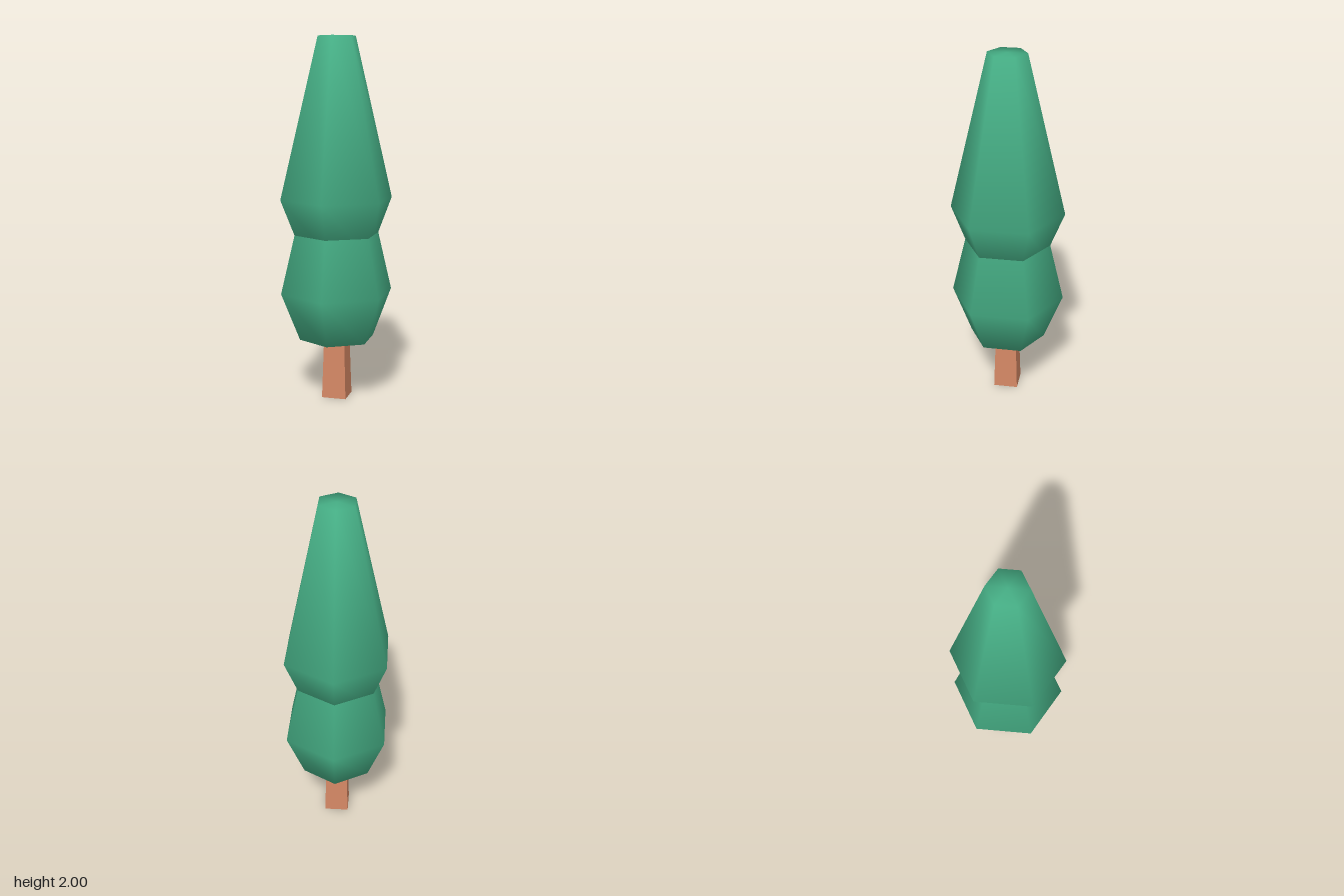
import * as THREE from 'three';

const leafGreen = new THREE.MeshStandardMaterial({ color: 0x45ad84 });
leafGreen.name = 'leaf green';
const barkBrown = new THREE.MeshStandardMaterial({ color: 0xd58865 });
barkBrown.name = 'bark brown';

const SIDES = 6;

function part(name, geometry, material) {
  const mesh = new THREE.Mesh(geometry, material);
  mesh.name = name;
  return mesh;
}

// six-sided lathe, corners on the z axis, from [radius, height, normal tilt in degrees]
function hexLathe(profile) {
  const points = profile.map(([r, y]) => new THREE.Vector2(r, y));
  const geometry = new THREE.LatheGeometry(points, SIDES);
  const normal = geometry.attributes.normal;
  for (let i = 0; i < normal.count; i++) {
    const turn = Math.floor(i / profile.length) * 2 * Math.PI / SIDES;
    const tilt = THREE.MathUtils.degToRad(profile[i % profile.length][2]);
    normal.setXYZ(i, Math.sin(turn) * Math.cos(tilt), Math.sin(tilt), Math.cos(turn) * Math.cos(tilt));
  }
  return geometry;
}

// one foliage tier: flared base, widest ring, long taper to a blunt top
function createTier(name, y) {
  const tier = new THREE.Group();
  tier.name = name;
  // smooth sides blending into the flat top
  const sides = [[0.212, 0, -42], [0.317, 0.265, -3.5], [0.106, 1.145, 42], [0, 1.145, 90]];
  tier.add(part('foliage', hexLathe(sides), leafGreen));
  // flat underside with a sharp edge
  tier.add(part('foliageUnderside', hexLathe([[0, 0, -90], [0.212, 0, -90]]), leafGreen));
  tier.position.y = y;
  return tier;
}

export function createModel() {
  const tree = new THREE.Group();
  tree.name = 'tree';

  // square tapered trunk
  const height = 0.34;
  const trunk = new THREE.CylinderGeometry(0.058 * Math.SQRT2, 0.068 * Math.SQRT2, height, 4)
    .rotateY(Math.PI / 4)
    .translate(0, height / 2, 0)
    .toNonIndexed();
  trunk.computeVertexNormals();
  tree.add(part('trunk', trunk, barkBrown));

  tree.add(createTier('lowerFoliage', 0.335));
  tree.add(createTier('upperFoliage', 0.855));
  return tree;
}
